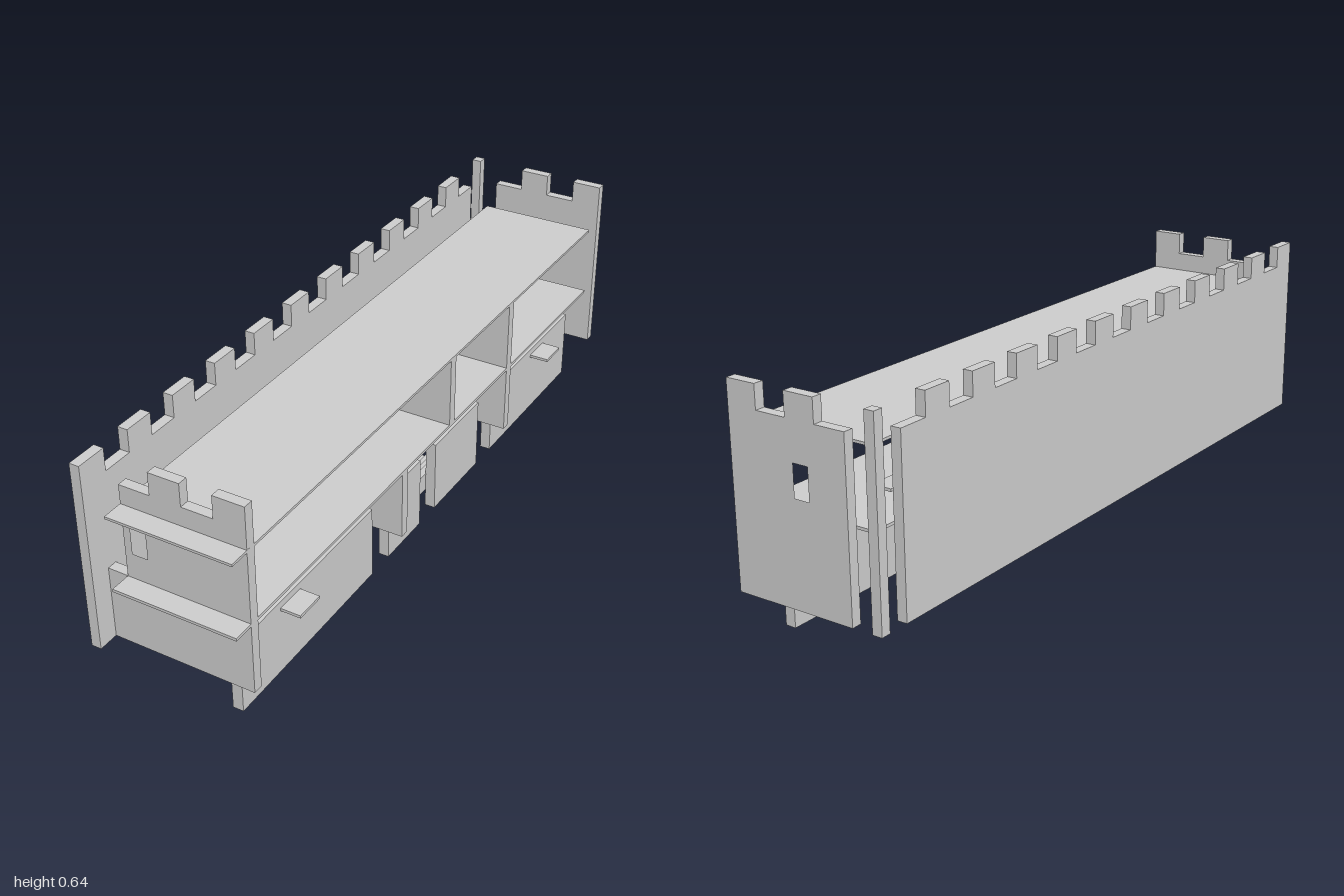
import * as THREE from 'three';

const U = 2 / 23;          // battlement module
const T = 0.028;           // board thickness
const FRONT = 0.217, BACK = -0.131, LOW = 0.107, NOTCH = 0.575, TOP = 0.638;

export function createModel() {
  const group = new THREE.Group();
  const material = new THREE.MeshStandardMaterial({ color: 0xcccccc, flatShading: true });

  const add = (name, geometry) => {
    const mesh = new THREE.Mesh(geometry, material);
    mesh.name = name;
    group.add(mesh);
    return mesh;
  };
  // Box given by its limits on each axis
  const box = (name, x0, x1, y0, y1, z0, z1) => add(name,
    new THREE.BoxGeometry(x1 - x0, y1 - y0, z1 - z0)
      .translate((x0 + x1) / 2, (y0 + y1) / 2, (z0 + z1) / 2));
  const shapeOf = (points) => new THREE.Shape(points.map(([x, y]) => new THREE.Vector2(x, y)));
  const extrude = (shape, depth) => new THREE.ExtrudeGeometry(shape, { depth, bevelEnabled: false });

  // Battlement outline from a to a + 2 * count modules, each pair a notch then a merlon
  const battlement = (a, count) => {
    const points = [];
    for (let i = 0; i < count; i++) {
      const s = a + 2 * U * i;
      points.push([s, NOTCH], [s + U, NOTCH], [s + U, TOP], [s + 2 * U, TOP]);
    }
    return points;
  };

  // Long crenellated wall
  const wallEnd = 1 - 22 * U;
  const wall = extrude(shapeOf([[1, LOW], [wallEnd, LOW], ...battlement(wallEnd, 11)]), T);
  wall.rotateY(-Math.PI / 2).translate(-0.189, 0, 0);
  add('longWall', wall);

  // Arrow slits on the inner face of the wall
  for (const z of [0.757, 0.41, -0.547, -0.812]) {
    box('arrowSlit', -0.1895, -0.187, 0.235, 0.39, z - 0.0125, z + 0.0125);
  }

  // Crenellated end panels with a window
  const endPanel = (name, z, lowerOutline, windowX) => {
    const shape = shapeOf([...lowerOutline, ...battlement(BACK, 2)]);
    const [l, r, b, t] = [windowX - 0.022, windowX + 0.022, 0.386, 0.471];
    shape.holes.push(new THREE.Path([[l, b], [l, t], [r, t], [r, b]]
      .map(([x, y]) => new THREE.Vector2(x, y))));
    add(name, extrude(shape, T).translate(0, 0, z));
  };
  endPanel('frontEndPanel', 0.914,
    [[FRONT, LOW], [-0.189, LOW], [-0.189, 0.314], [BACK, 0.314]], -0.088);
  endPanel('backEndPanel', -1, [[FRONT, LOW], [BACK, LOW]], 0.003);

  // Loose corner post
  box('cornerPost', -0.217, -0.189, LOW, TOP, -1, -1 + T);

  // Shelves and dividers
  box('topShelf', BACK, FRONT, 0.515, 0.522, wallEnd, 1);
  box('lowerShelf', BACK, FRONT, 0.306, 0.314, wallEnd, 1);
  box('lowerDivider', BACK, FRONT, LOW, 0.306, 0.219, 0.247);
  box('upperDivider', BACK, FRONT, 0.314, 0.515, -0.04, -0.012);
  box('tallDivider', BACK, FRONT, LOW, 0.515, -0.389, -0.361);

  // Drawer and gate fronts
  for (const [name, z0, z1] of [
    ['drawerFront', 0.305, 0.914], ['gateFront', U / 2, 0.219],
    ['gateFront', -0.303, -U / 2], ['drawerFront', -0.914, -0.39],
  ]) box(name, 0.13, 0.16, 0, 0.212, z0, z1);

  // Drawer handles
  for (const z of [0.698, -0.698]) {
    box('drawerHandle', 0.16, FRONT, 0.185, 0.193, z - U / 2, z + U / 2);
  }

  // Pairs of small plates above the lower shelf
  for (const z of [0.48, -0.651]) {
    box('smallPlate', -0.034, 0.024, 0.319, 0.327, z, z + U);
    box('smallPlate', -0.034, 0.024, 0.329, 0.337, z - U, z);
  }

  // Staircase, hollow from below, with ribs between four bays
  const x0 = -U / 2, run = U / 4, rise = LOW / 8;
  const steps = [];
  for (let i = 0; i < 8; i++) {
    steps.push([x0 + i * run, i * rise], [x0 + i * run, (i + 1) * rise]);
  }
  const endX = x0 + 8 * run, midX = x0 + 4 * run;
  steps.push([endX, LOW]);
  const treads = shapeOf([...steps, [endX, LOW - rise], [x0 + run, 0]]);
  add('stairTreads', extrude(treads, 4 * U).translate(0, 0, -2 * U));
  const side = shapeOf([...steps, [endX, 4 * rise], [midX, 4 * rise], [midX, 0]]);
  const rib = 0.012;
  for (let i = 0; i < 5; i++) {
    const z = -2 * U + i * (4 * U - rib) / 4;
    add('stairRib', extrude(side, rib).translate(0, 0, z));
  }
  box('stairBackWall', midX - 0.01, midX, 0, 4 * rise, -2 * U, 2 * U);
  box('stairBackWall', endX - 0.01, endX, 4 * rise, LOW, -2 * U, 2 * U);
  box('stairCrossBar', midX, midX + 0.01, 4 * rise, 5 * rise, -2 * U, 2 * U);

  return group;
}
